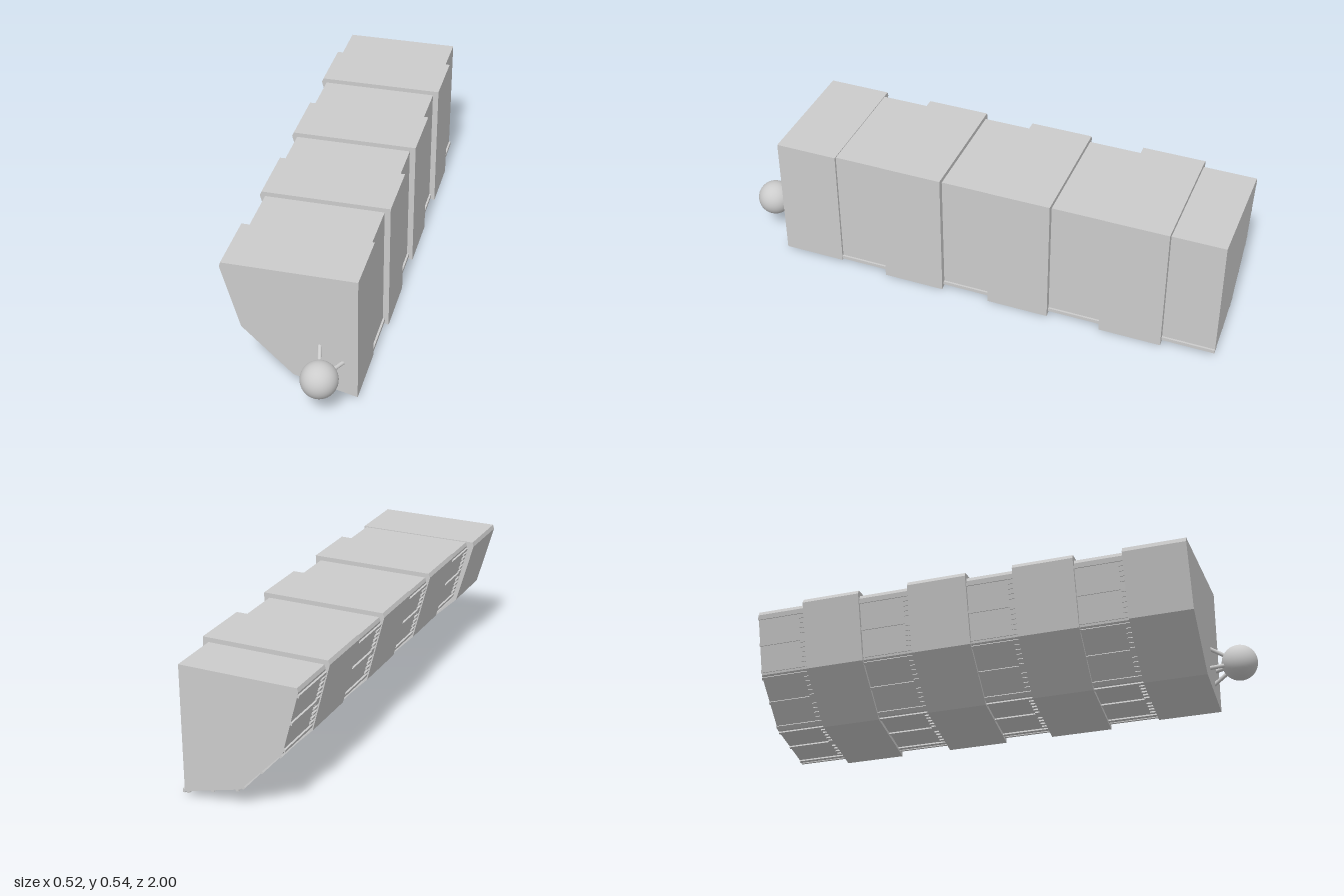
import * as THREE from 'three';

const material = new THREE.MeshStandardMaterial({ color: 0xcccccc });

// Cross-sections in x/y, running from the chamfered top corner round to the lower bend
const capProfile = [[-0.262, 0.51], [-0.257, 0.528], [0.245, 0.528], [0.245, 0.01], [0.003, 0.07], [-0.19, 0.257]];
const ribProfile = [[-0.248, 0.527], [-0.241, 0.543], [0.258, 0.543], [0.258, 0.002], [0.005, 0.07], [-0.178, 0.258]];
const coreProfile = [[-0.232, 0.51], [-0.227, 0.525], [0.235, 0.525], [0.235, 0.022], [0.005, 0.083], [-0.167, 0.263]];

function prism(name, profile, zBack, zFront) {
  const shape = new THREE.Shape(profile.map(([x, y]) => new THREE.Vector2(x, y)));
  const geometry = new THREE.ExtrudeGeometry(shape, { depth: zFront - zBack, bevelEnabled: false });
  geometry.translate(0, 0, zBack);
  const mesh = new THREE.Mesh(geometry, material);
  mesh.name = name;
  return mesh;
}

// Cylinder between two points
function rod(name, a, b, radius) {
  const dir = b.clone().sub(a);
  const mesh = new THREE.Mesh(new THREE.CylinderGeometry(radius, radius, dir.length(), 12), material);
  mesh.position.copy(a).add(b).multiplyScalar(0.5);
  mesh.quaternion.setFromUnitVectors(new THREE.Vector3(0, 1, 0), dir.normalize());
  mesh.name = name;
  return mesh;
}

// Rails and a row of teeth lying on one sloping side of a recessed section
function sideFittings(a, b, zBack, zFront) {
  const group = new THREE.Group();
  group.name = 'sideFittings';
  const dx = b[0] - a[0], dy = b[1] - a[1];
  const length = Math.hypot(dx, dy);
  group.position.set(a[0], a[1], 0);
  group.rotation.z = Math.atan2(dy, dx);
  const add = (name, t, width, height, z, depth) => {
    const mesh = new THREE.Mesh(new THREE.BoxGeometry(width, height, depth), material);
    mesh.position.set(t * length, -height / 2 + 0.002, z);
    mesh.name = name;
    group.add(mesh);
  };
  const mid = (zBack + zFront) / 2;
  for (const t of [0.06, 0.5, 0.94]) add('rail', t, 0.012, 0.009, mid, zFront - zBack);
  for (let i = 0; i < 10; i++) add('tooth', 0.14 + i * 0.08, 0.01, 0.009, zFront - 0.012, 0.024);
  return group;
}

export function createModel() {
  const model = new THREE.Group();

  // Front block and the three raised ribs
  model.add(prism('frontBlock', capProfile, 0.573, 0.825));
  const ribs = [[0.122, 0.372], [-0.325, -0.075], [-0.79, -0.54]];
  ribs.forEach(([back, front]) => model.add(prism('rib', ribProfile, back, front)));

  // Recessed sections between them
  const recesses = [[0.372, 0.573], [-0.075, 0.122], [-0.54, -0.325], [-1, -0.79]];
  recesses.forEach(([back, front]) => {
    const section = new THREE.Group();
    section.name = 'recessedSection';
    section.add(prism('core', coreProfile, back, front));
    const [top, , , base, low, bend] = coreProfile;
    // Sides are walked anticlockwise so that local -y points outward
    for (const [a, b] of [[top, bend], [bend, low], [low, base]]) {
      section.add(sideFittings(a, b, back, front));
    }
    const edgeRail = new THREE.Mesh(new THREE.BoxGeometry(0.01, 0.014, front - back), material);
    edgeRail.position.set(0.238, 0.024, (back + front) / 2);
    edgeRail.name = 'edgeRail';
    section.add(edgeRail);
    model.add(section);
  });

  // Ball held in front by splayed struts
  const centre = new THREE.Vector3(0.129, 0.157, 0.93);
  const ball = new THREE.Mesh(new THREE.SphereGeometry(0.07, 40, 28), material);
  ball.position.copy(centre);
  ball.name = 'ball';
  model.add(ball);
  for (const [x, y] of [[0.103, 0.222], [0.19, 0.16], [0.148, 0.085], [0.067, 0.123]]) {
    model.add(rod('strut', centre, new THREE.Vector3(x, y, 0.82), 0.008));
  }
  return model;
}
